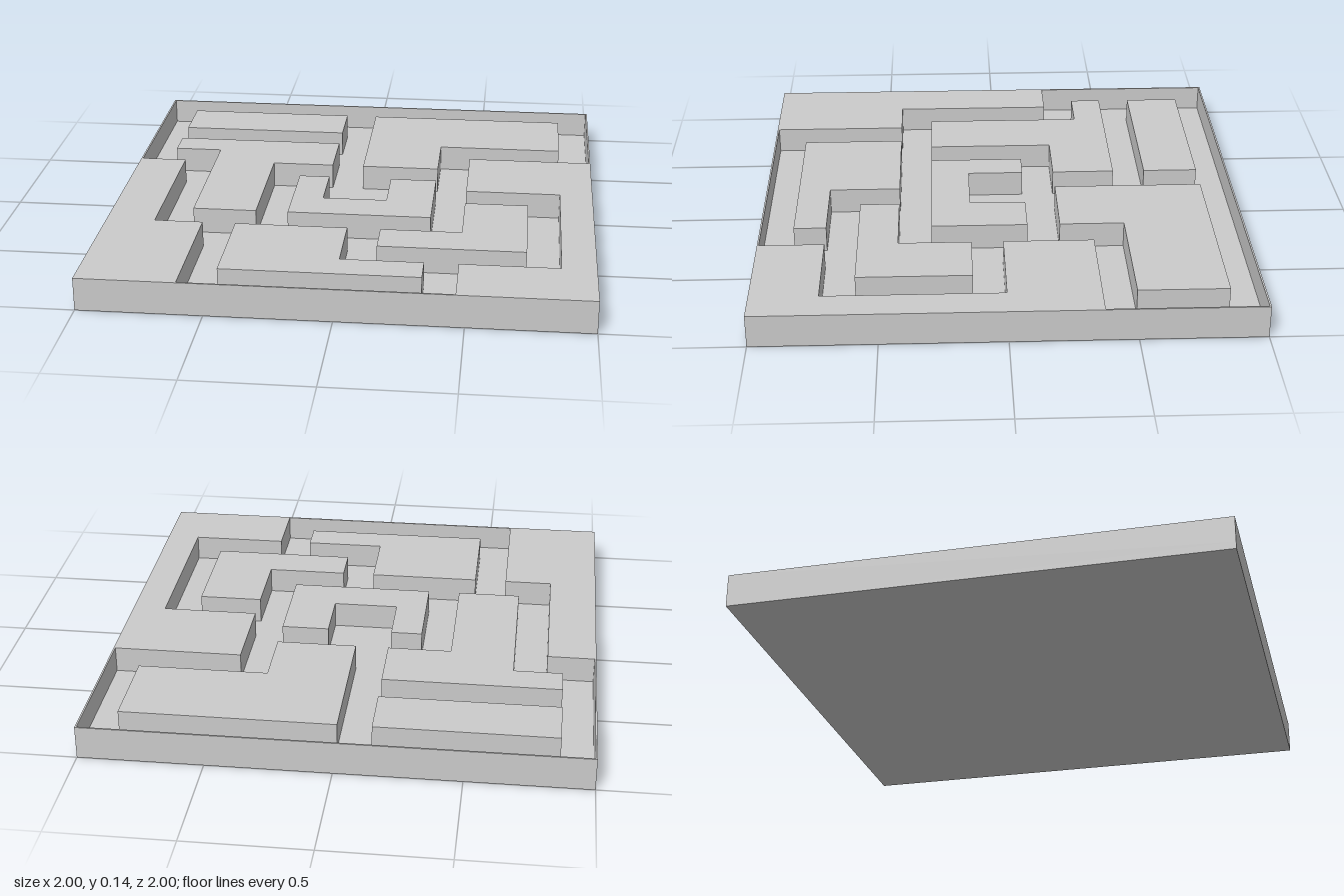
import * as THREE from 'three';

const TOP = 0.136;    // overall height
const FLOOR = 0.028;  // thickness of the base plate
const material = new THREE.MeshStandardMaterial({ color: 0xcccccc, flatShading: true });

// Outlines are plan views, as [x, z] corners
const toPoints = (corners) => corners.map(([x, z]) => new THREE.Vector2(x, z));

// Extrude a plan outline upwards from the floor to the top
function wall(name, outline, hole) {
  const shape = new THREE.Shape(toPoints(outline));
  if (hole) shape.holes.push(new THREE.Path(toPoints(hole)));
  const geometry = new THREE.ExtrudeGeometry(shape, { depth: TOP - FLOOR, bevelEnabled: false });
  geometry.rotateX(Math.PI / 2);
  geometry.translate(0, TOP, 0);
  const mesh = new THREE.Mesh(geometry, material);
  mesh.name = name;
  return mesh;
}

export function createModel() {
  const maze = new THREE.Group();
  maze.name = 'mazeTile';

  // Base plate
  const base = new THREE.Mesh(new THREE.BoxGeometry(2, FLOOR, 2), material);
  base.name = 'basePlate';
  base.position.y = FLOOR / 2;
  maze.add(base);

  // Rim: thin edge walls and broad border blocks around the passages
  const e = 0.993;
  maze.add(wall('rim', [[-1, -1], [1, -1], [1, 1], [-1, 1]], [
    [-e, -e], [e, -e], [e, -0.367], [0.464, -0.367], [0.464, 0.003], [0.862, 0.003],
    [0.862, 0.728], [0.464, 0.728], [0.464, e], [-0.6, e], [-0.6, 0.43],
    [-0.8, 0.43], [-0.8, -0.236], [-e, -0.236],
  ]));

  // Free-standing blocks between the passages
  const blocks = {
    backLeftBlock: [[-0.865, -0.865], [-0.137, -0.865], [-0.137, -0.635], [-0.865, -0.635]],
    backRightBlock: [
      [-0.002, -0.865], [0.862, -0.865], [0.862, -0.502],
      [0.329, -0.502], [0.329, -0.236], [-0.002, -0.236],
    ],
    steppedBlock: [
      [-0.865, -0.5], [-0.137, -0.5], [-0.137, -0.236], [-0.4, -0.236],
      [-0.4, 0.295], [-0.664, 0.295], [-0.664, -0.369], [-0.865, -0.369],
    ],
    centreUBlock: [
      [-0.267, -0.102], [-0.137, -0.102], [-0.137, 0.132], [0.132, 0.132],
      [0.132, -0.102], [0.329, -0.102], [0.329, 0.295], [-0.267, 0.295],
    ],
    rightLBlock: [
      [0.464, 0.132], [0.728, 0.132], [0.728, 0.595],
      [0.132, 0.595], [0.132, 0.43], [0.464, 0.43],
    ],
    frontLBlock: [
      [-0.465, 0.43], [-0.003, 0.43], [-0.003, 0.728],
      [0.329, 0.728], [0.329, 0.862], [-0.465, 0.862],
    ],
  };
  for (const [name, outline] of Object.entries(blocks)) maze.add(wall(name, outline));

  return maze;
}
